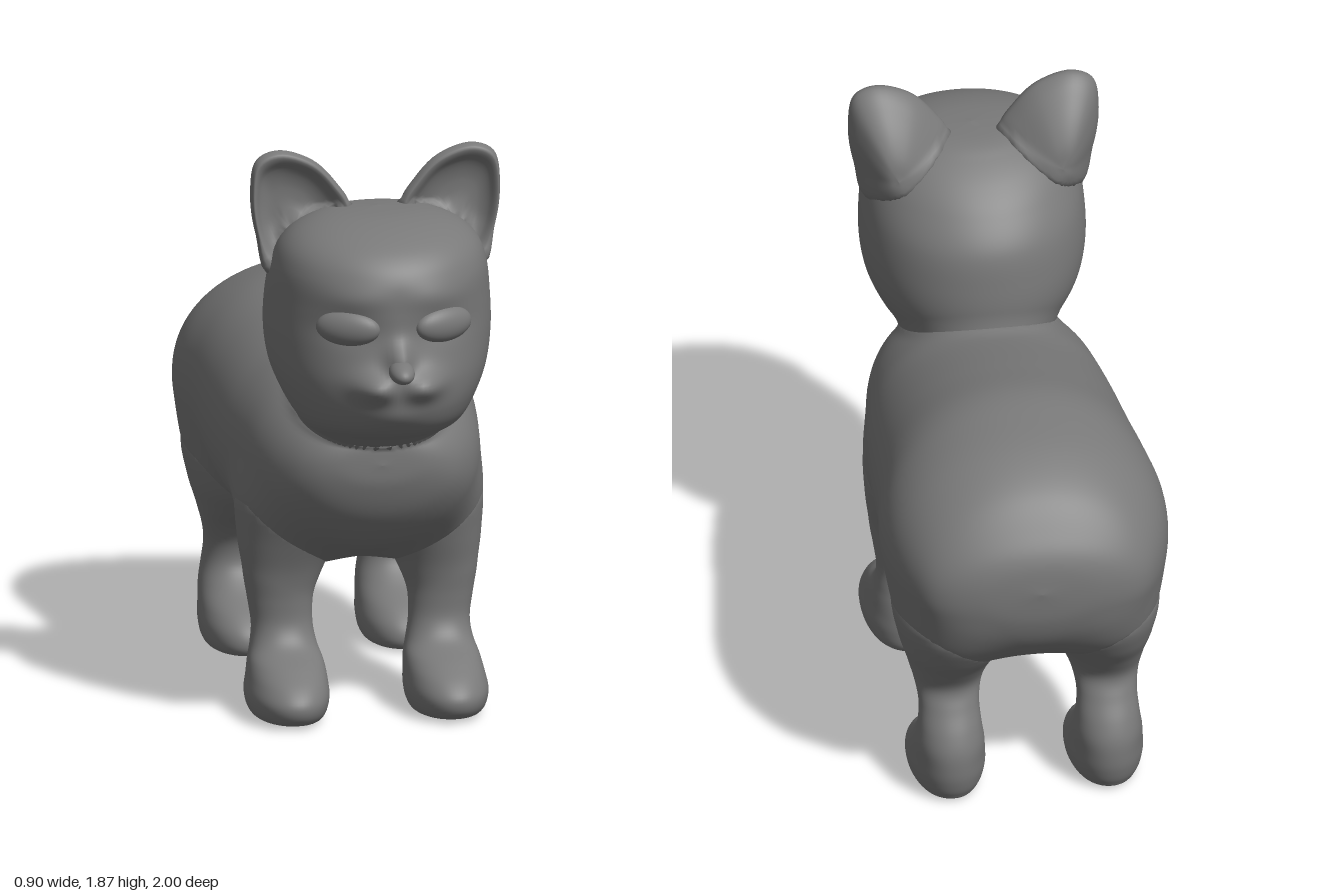
import * as THREE from 'three';

const material = new THREE.MeshStandardMaterial({ color: 0x797979 });

// Closed skin over rows of points; the first and last rows shrink to a point.
function skin(rows, cols, point, flip) {
  const pos = [], index = [];
  for (let i = 0; i <= rows; i++)
    for (let j = 0; j < cols; j++) pos.push(...point(i / rows, j / cols));
  for (let i = 0; i < rows; i++)
    for (let j = 0; j < cols; j++) {
      const a = i * cols + j, b = i * cols + (j + 1) % cols, c = a + cols, d = b + cols;
      if (flip) index.push(a, b, c, b, d, c);
      else index.push(a, c, b, b, c, d);
    }
  const g = new THREE.BufferGeometry();
  g.setAttribute('position', new THREE.Float32BufferAttribute(pos, 3));
  g.setIndex(index);
  g.computeVertexNormals();
  return g;
}

// Rounded loft. Each section is [position on axis, low, high, x centre, x half width].
// Returns the geometry and a rough signed distance to its surface.
function loft(sections, axis, power, rows = 72, cols = 64) {
  const curve = f => new THREE.CatmullRomCurve3(sections.map(f), false, 'catmullrom', 0.5);
  const spans = curve(s => new THREE.Vector3(s[0], s[1], s[2]));
  const widths = curve(s => new THREE.Vector3(s[3], s[4], 0));
  const round = v => Math.sign(v) * Math.pow(Math.abs(v), 2 / power);
  const geometry = skin(rows, cols, (t, u) => {
    const s = spans.getPoint(t), w = widths.getPoint(t), a = u * Math.PI * 2;
    const x = w.x + w.y * round(Math.cos(a));
    const v = (s.y + s.z) / 2 + (s.z - s.y) / 2 * round(Math.sin(a));
    return axis === 'y' ? [x, s.x, v] : [x, v, s.x];
  }, axis === 'z');
  const distance = p => {
    const along = p[axis], across = axis === 'y' ? p.z : p.y;
    if (along <= sections[0][0] || along >= sections[sections.length - 1][0]) return Infinity;
    let lo = 0, hi = 1;
    for (let i = 0; i < 16; i++) {
      const mid = (lo + hi) / 2;
      if (spans.getPoint(mid).x < along) lo = mid;
      else hi = mid;
    }
    const s = spans.getPoint(lo), w = widths.getPoint(lo);
    const dx = Math.abs(p.x) - w.x, dv = across - (s.y + s.z) / 2;
    const r = Math.pow(Math.pow(Math.abs(dx) / Math.max(w.y, 1e-3), power)
      + Math.pow(Math.abs(dv) / Math.max((s.z - s.y) / 2, 1e-3), power), 1 / power);
    const length = Math.hypot(dx, dv);
    return length - length / Math.max(r, 1e-4);
  };
  return { geometry, distance };
}

// Swell a surface near its neighbours so that the joins flow together.
// Neighbours are [distance function, blend width].
function blend(geometry, neighbours) {
  const pos = geometry.attributes.position, nor = geometry.attributes.normal;
  const p = new THREE.Vector3(), n = new THREE.Vector3();
  for (let i = 0; i < pos.count; i++) {
    p.fromBufferAttribute(pos, i);
    n.fromBufferAttribute(nor, i);
    let push = 0;
    for (const [distance, k] of neighbours)
      push += Math.max(k - Math.abs(distance(p)), 0) ** 2 / (4 * k);
    p.addScaledVector(n, push);
    pos.setXYZ(i, p.x, p.y, p.z);
  }
  geometry.computeVertexNormals();
}

function ellipsoid(rx, ry, rz, x, y, z, turnX, turnY) {
  return new THREE.SphereGeometry(1, 32, 24).scale(rx, ry, rz)
    .rotateX(turnX).rotateY(turnY).translate(x, y, z);
}

function mirrored(geometry) {
  const g = geometry.clone().scale(-1, 1, 1), ix = g.index;
  for (let i = 0; i < ix.count; i += 3) {
    const b = ix.getX(i + 1);
    ix.setX(i + 1, ix.getX(i + 2));
    ix.setX(i + 2, b);
  }
  g.computeVertexNormals();
  return g;
}

// Model the face: each feature is [x, y, x radius, y radius, height].
function sculptFace(g) {
  const features = [
    [0.15, 1.385, 0.1, 0.05, -0.014], [0.13, 1.49, 0.1, 0.04, 0.01], // sockets, brows
    [0, 1.2, 0.17, 0.1, 0.025], [0.08, 1.215, 0.065, 0.045, 0.05], // muzzle, pads
    [0, 1.3, 0.035, 0.05, 0.05], [0, 1.11, 0.1, 0.04, 0.01], // nose bridge, chin
  ];
  const p = g.attributes.position;
  for (let i = 0; i < p.count; i++) {
    const x = Math.abs(p.getX(i)), y = p.getY(i), z = p.getZ(i);
    if (z < 0.5) continue;
    let dz = 0;
    for (const [cx, cy, rx, ry, h] of features)
      dz += h * Math.exp(-(((x - cx) / rx) ** 2) - ((y - cy) / ry) ** 2);
    p.setZ(i, z + dz * Math.min((z - 0.5) / 0.2, 1));
  }
  g.computeVertexNormals();
}

// Ear: rings from the domed back, over the rim, into the hollow front.
function earGeometry() {
  const outline = new THREE.CatmullRomCurve3([
    [0.335, 1.5], [0.382, 1.62], [0.397, 1.75], [0.378, 1.85], [0.31, 1.88], [0.2, 1.845],
    [0.125, 1.77], [0.08, 1.69], [0.12, 1.58], [0.22, 1.48],
  ].map(([x, y]) => new THREE.Vector3(x, y, 0)), true);
  const rings = new THREE.CatmullRomCurve3([
    [0, -0.16], [0.25, -0.15], [0.5, -0.12], [0.75, -0.075], [0.94, -0.03], [1, 0],
    [0.96, 0.025], [0.88, 0.022], [0.75, -0.005], [0.5, -0.025], [0, -0.02],
  ].map(([s, z]) => new THREE.Vector3(s, z, 0)));
  return skin(40, 56, (t, u) => {
    const o = outline.getPoint(u), r = rings.getPoint(t);
    return [0.26 + (o.x - 0.26) * r.x, 1.62 + (o.y - 1.62) * r.x, 0.45 + r.y];
  }, true);
}

export function createModel() {
  const model = new THREE.Group();
  const add = (name, geometry) => {
    const mesh = new THREE.Mesh(geometry, material);
    mesh.name = name;
    model.add(mesh);
  };
  const addPair = (name, geometry) => {
    add(name + 'Left', geometry);
    add(name + 'Right', mirrored(geometry));
  };

  // Torso from rump to chest
  const body = loft([
    [-1.0, 0.87, 0.87, 0, 0], [-0.985, 0.75, 0.97, 0, 0.2], [-0.94, 0.65, 1.05, 0, 0.325],
    [-0.85, 0.56, 1.15, 0, 0.395], [-0.72, 0.51, 1.22, 0, 0.44], [-0.58, 0.49, 1.255, 0, 0.452],
    [-0.42, 0.475, 1.27, 0, 0.433], [-0.22, 0.445, 1.235, 0, 0.42], [0, 0.455, 1.19, 0, 0.405],
    [0.15, 0.475, 1.17, 0, 0.385], [0.3, 0.525, 1.13, 0, 0.36], [0.43, 0.585, 1.08, 0, 0.315],
    [0.53, 0.69, 1.02, 0, 0.245], [0.58, 0.8, 0.96, 0, 0.15], [0.59, 0.88, 0.88, 0, 0],
  ], 'z', 2.12, 110, 110);

  const head = loft([
    [0.93, 0.49, 0.49, 0, 0], [0.95, 0.36, 0.62, 0, 0.13], [1.0, 0.26, 0.73, 0, 0.22],
    [1.05, 0.18, 0.84, 0, 0.265], [1.12, 0.11, 0.885, 0, 0.305], [1.21, 0.08, 0.89, 0, 0.34],
    [1.32, 0.08, 0.88, 0, 0.355], [1.44, 0.1, 0.88, 0, 0.35], [1.54, 0.165, 0.87, 0, 0.335],
    [1.61, 0.235, 0.82, 0, 0.305], [1.66, 0.31, 0.73, 0, 0.245], [1.69, 0.38, 0.62, 0, 0.15],
    [1.7, 0.49, 0.49, 0, 0],
  ], 'y', 2.05, 130, 150);

  // Front legs rise into the shoulders
  const frontLeg = loft([
    [0.005, 0.27, 0.27, 0.25, 0], [0.008, 0.11, 0.43, 0.25, 0.09], [0.03, 0.07, 0.495, 0.253, 0.118],
    [0.08, 0.062, 0.513, 0.253, 0.13], [0.13, 0.065, 0.475, 0.25, 0.125],
    [0.175, 0.075, 0.4, 0.248, 0.118], [0.22, 0.09, 0.305, 0.248, 0.105],
    [0.28, 0.1, 0.265, 0.25, 0.097], [0.36, 0.09, 0.265, 0.255, 0.103],
    [0.45, 0.07, 0.28, 0.256, 0.116], [0.56, 0.04, 0.295, 0.255, 0.122],
    [0.69, 0.05, 0.29, 0.24, 0.11], [0.8, 0.09, 0.25, 0.19, 0.08], [0.88, 0.17, 0.17, 0.17, 0],
  ], 'y', 2.1);

  // Hind legs: foot, narrow hock and broad thigh
  const hindLeg = loft([
    [0.005, -0.6, -0.6, 0.25, 0], [0.008, -0.77, -0.44, 0.25, 0.085],
    [0.03, -0.805, -0.395, 0.25, 0.112], [0.08, -0.825, -0.4, 0.25, 0.122],
    [0.13, -0.832, -0.45, 0.25, 0.118], [0.19, -0.83, -0.55, 0.25, 0.11],
    [0.25, -0.81, -0.605, 0.25, 0.1], [0.32, -0.775, -0.605, 0.25, 0.095],
    [0.385, -0.755, -0.565, 0.25, 0.105], [0.46, -0.795, -0.49, 0.253, 0.123],
    [0.55, -0.85, -0.43, 0.255, 0.14], [0.66, -0.87, -0.43, 0.245, 0.14],
    [0.8, -0.8, -0.48, 0.2, 0.1], [0.93, -0.64, -0.64, 0.18, 0],
  ], 'y', 2.1);

  blend(body.geometry, [[frontLeg.distance, 0.16], [hindLeg.distance, 0.16], [head.distance, 0.06]]);
  blend(head.geometry, [[body.distance, 0.06]]);
  blend(frontLeg.geometry, [[body.distance, 0.16]]);
  blend(hindLeg.geometry, [[body.distance, 0.16]]);
  sculptFace(head.geometry);
  const ear = earGeometry();
  blend(ear, [[head.distance, 0.08]]);

  add('body', body.geometry);
  add('head', head.geometry);
  addPair('frontLeg', frontLeg.geometry);
  addPair('hindLeg', hindLeg.geometry);
  addPair('ear', ear);
  addPair('eye', ellipsoid(0.105, 0.057, 0.042, 0.152, 1.395, 0.826, 0, 0.48));
  add('nose', ellipsoid(0.04, 0.032, 0.065, 0, 1.272, 0.935, 0.15, 0));

  return model;
}
